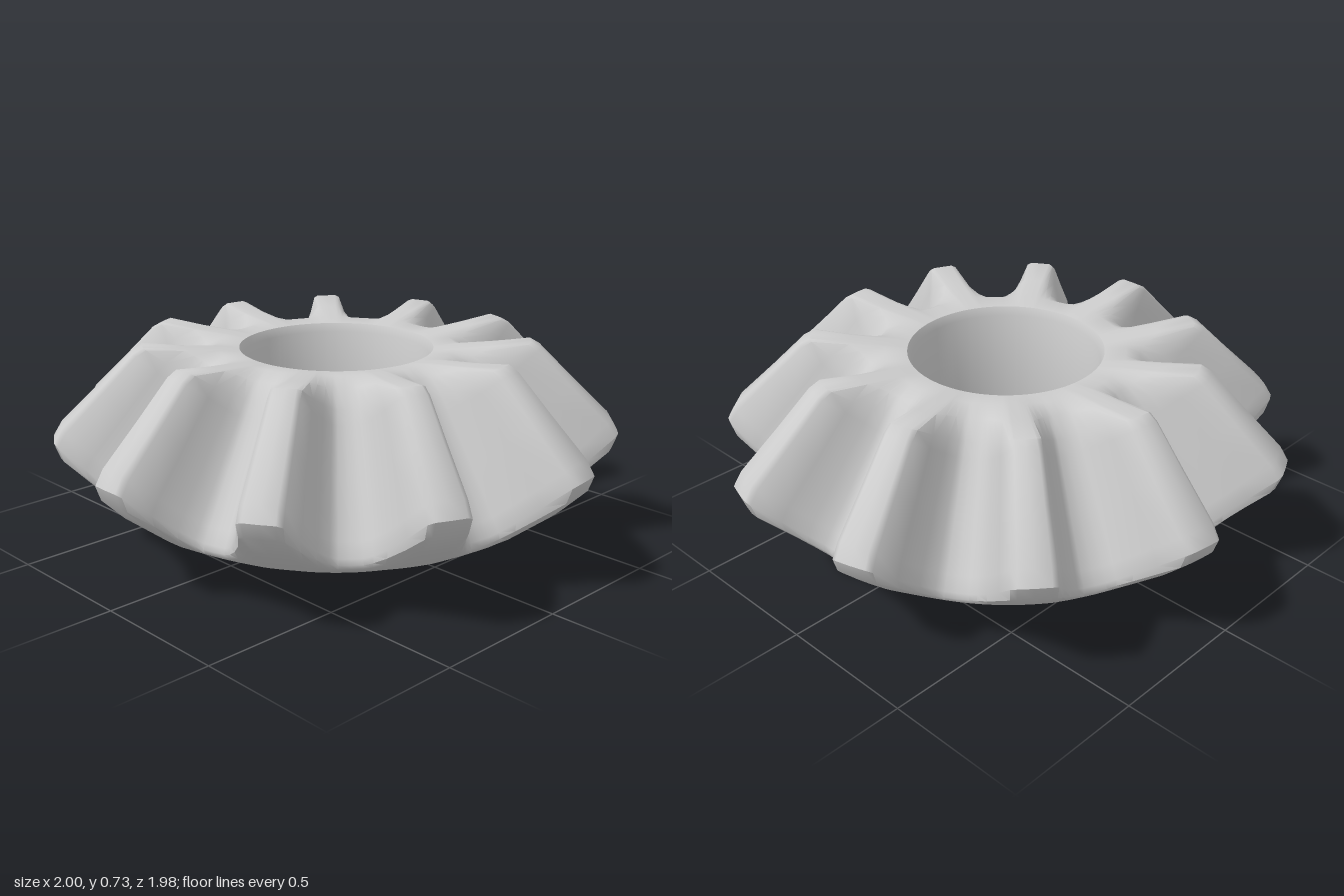
import * as THREE from 'three';
import { toCreasedNormals } from 'three/addons/utils/BufferGeometryUtils.js';

const TEETH = 11;

// Closed [radius, height] sections through a tooth crest and through a valley
const CREST = [
  [0.33, 0.67], [0.345, 0.7], [0.42, 0.71], [0.55, 0.72], [0.685, 0.735], [0.72, 0.715],
  [0.84, 0.595], [0.975, 0.465], [1.005, 0.415], [0.985, 0.36], [0.9, 0.275],
  [0.76, 0.165], [0.58, 0.08], [0.36, 0.003], [0.335, 0.02], [0.33, 0.34],
];
const VALLEY = [
  [0.33, 0.67], [0.345, 0.7], [0.42, 0.705], [0.47, 0.68], [0.52, 0.62], [0.55, 0.575],
  [0.65, 0.425], [0.755, 0.265], [0.785, 0.22], [0.79, 0.2], [0.785, 0.185],
  [0.74, 0.158], [0.58, 0.08], [0.36, 0.003], [0.335, 0.02], [0.33, 0.34],
];

// [angle in degrees from the tooth centre, blend from valley (0) to crest (1)]
const FLANK = [[0, 1], [3, 1], [4.2, 0.95], [6.3, 0.56], [9, 0.25], [11.5, 0.07], [13.5, 0]];
const HALF_PITCH = 180 / TEETH;
const PITCH_STEPS = [
  ...FLANK.slice(1).reverse().map(([a, w]) => [-a, w]),
  ...FLANK,
  [HALF_PITCH, 0],
];

function createGearGeometry() {
  const positions = [];
  const index = [];
  const rows = CREST.length;
  const columns = TEETH * PITCH_STEPS.length;

  // Sweep the blended section around the axis
  for (let t = 0; t < TEETH; t++) {
    for (const [degrees, w] of PITCH_STEPS) {
      const a = THREE.MathUtils.degToRad(degrees + t * 2 * HALF_PITCH);
      for (let j = 0; j < rows; j++) {
        const r = THREE.MathUtils.lerp(VALLEY[j][0], CREST[j][0], w);
        const y = THREE.MathUtils.lerp(VALLEY[j][1], CREST[j][1], w);
        positions.push(r * Math.sin(a), y, r * Math.cos(a));
      }
    }
  }

  for (let i = 0; i < columns; i++) {
    const next = (i + 1) % columns;
    for (let j = 0; j < rows; j++) {
      const k = (j + 1) % rows;
      const a = i * rows + j, b = i * rows + k;
      const c = next * rows + k, d = next * rows + j;
      index.push(a, b, c, a, c, d);
    }
  }

  const geometry = new THREE.BufferGeometry();
  geometry.setAttribute('position', new THREE.Float32BufferAttribute(positions, 3));
  geometry.setIndex(index);
  return toCreasedNormals(geometry, 0.75);
}

export function createModel() {
  const group = new THREE.Group();
  group.name = 'bevelGear';

  // Toothed body with its central bore
  const material = new THREE.MeshStandardMaterial({ color: 0xcccccc });
  const gear = new THREE.Mesh(createGearGeometry(), material);
  gear.name = 'toothedGearBody';
  gear.position.z = -0.01;
  group.add(gear);

  return group;
}
